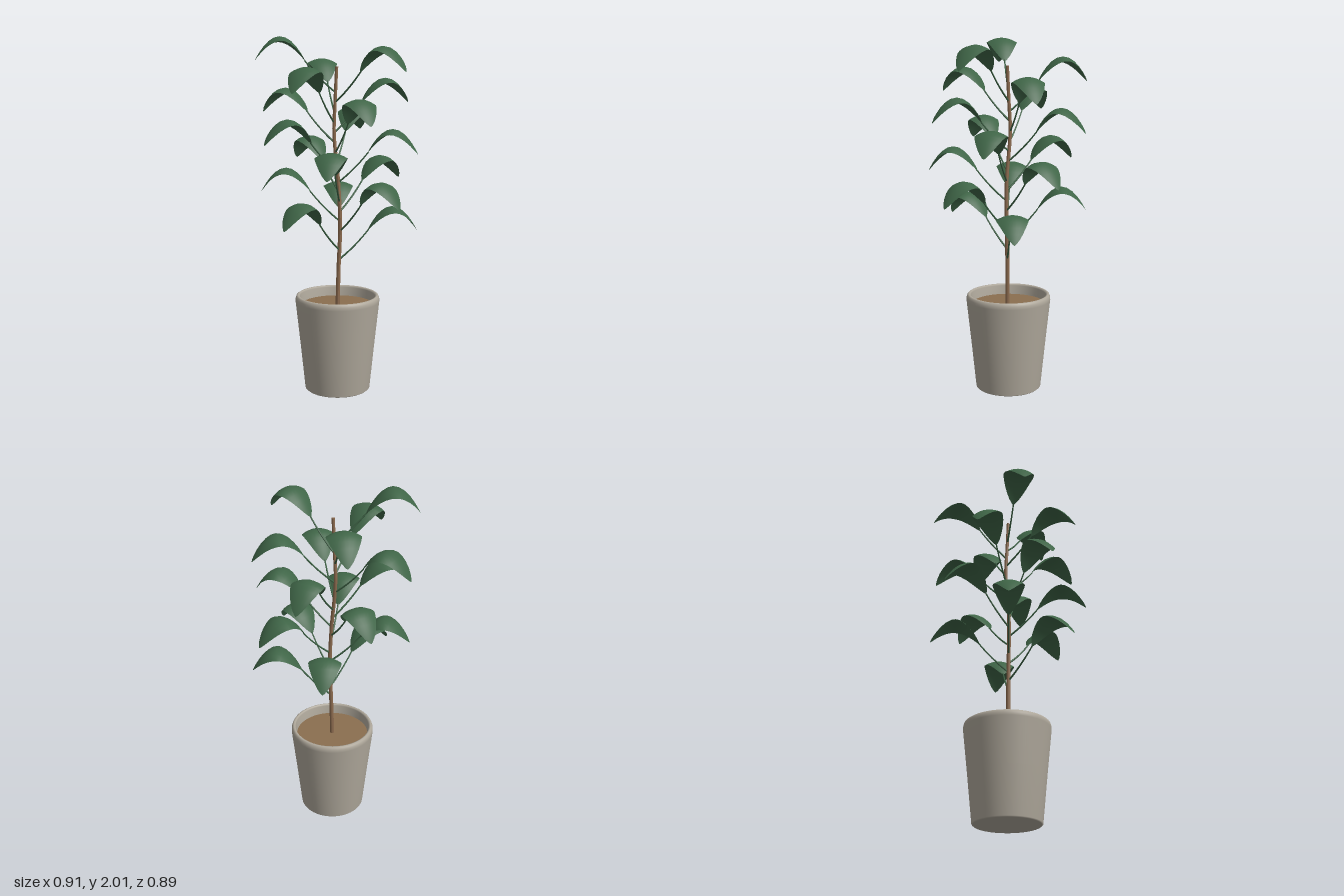
import * as THREE from 'three';

const LEAF_COUNT = 18;
const GOLDEN_ANGLE = THREE.MathUtils.degToRad(137.5);
const LEAF_BASE = 0.165, LEAF_TIP = 0.447, ARCH = 0.137;

// Gently wandering line of the trunk
const trunkCurve = new THREE.CatmullRomCurve3([
  [0, 0.48, 0.005], [0.006, 0.72, 0.006], [0.014, 0.95, 0.01], [0.004, 1.2, 0.01],
  [-0.018, 1.48, -0.012], [-0.013, 1.65, -0.004], [-0.005, 1.845, 0.005],
].map((p) => new THREE.Vector3(...p)));

function trunkAt(y) {
  let lo = 0, hi = 1;
  for (let i = 0; i < 20; i++) {
    const mid = (lo + hi) / 2;
    if (trunkCurve.getPoint(mid).y < y) lo = mid; else hi = mid;
  }
  return trunkCurve.getPoint(lo);
}

// Tube whose radius shrinks linearly along its path
function taperedTube(curve, segments, r0, r1, sides) {
  const geo = new THREE.TubeGeometry(curve, segments, 1, sides);
  const pos = geo.attributes.position, v = new THREE.Vector3();
  for (let i = 0; i < pos.count; i++) {
    const t = Math.floor(i / (sides + 1)) / segments;
    const c = curve.getPointAt(t);
    v.fromBufferAttribute(pos, i).sub(c).multiplyScalar(r0 + (r1 - r0) * t).add(c);
    pos.setXYZ(i, v.x, v.y, v.z);
  }
  geo.computeVertexNormals();
  return geo;
}

// Arched leaf running along +x, its edges drooping away from the midrib
function leafGeometry() {
  const geo = new THREE.PlaneGeometry(2, 2, 8, 14);
  const pos = geo.attributes.position;
  const half = (LEAF_TIP - LEAF_BASE) / 2;
  for (let i = 0; i < pos.count; i++) {
    const across = pos.getX(i);
    const u = Math.sin(pos.getY(i) * Math.PI / 2);
    const width = Math.max(0.002, 0.089 * Math.pow(Math.max(0, 1 - u * u), 0.7));
    const slope = -2 * ARCH * u / half;
    const len = Math.hypot(1, slope);
    const droop = 0.028 * Math.pow(across * width / 0.089, 2);
    pos.setXYZ(i,
      LEAF_BASE + half * (1 + u) + droop * slope / len,
      ARCH * (1 - u * u) - droop / len,
      across * width);
  }
  geo.computeVertexNormals();
  return geo;
}

export function createModel() {
  const group = new THREE.Group();
  const material = (name, color, side = THREE.FrontSide) => {
    const m = new THREE.MeshStandardMaterial({ color, side });
    m.name = name;
    return m;
  };
  const clay = material('potGrey', 0xb0a99c);
  const earth = material('soilBrown', 0x8b6f50);
  const bark = material('barkBrown', 0x8b6a4e);
  const green = material('leafGreen', 0x3f6547, THREE.DoubleSide);

  const add = (parent, name, geo, mat) => {
    const mesh = new THREE.Mesh(geo, mat);
    mesh.name = name;
    parent.add(mesh);
    return mesh;
  };

  // Tapered pot with a rounded rim and hollow top
  const profile = [
    [0, 0], [0.18, 0], [0.187, 0.006], [0.214, 0.27], [0.241, 0.52], [0.24, 0.537],
    [0.235, 0.55], [0.228, 0.555], [0.22, 0.553], [0.216, 0.545], [0.208, 0.48],
  ].map((p) => new THREE.Vector2(...p));
  add(group, 'pot', new THREE.LatheGeometry(profile, 48), clay);

  // Soil
  const soil = add(group, 'soil', new THREE.CircleGeometry(0.211, 48), earth);
  soil.rotation.x = -Math.PI / 2;
  soil.position.y = 0.495;

  // Trunk and its end cap
  add(group, 'trunk', taperedTube(trunkCurve, 28, 0.0125, 0.009, 10), bark);
  const cap = add(group, 'trunkTip', new THREE.CircleGeometry(0.009, 10), bark);
  cap.rotation.x = -Math.PI / 2;
  cap.position.copy(trunkCurve.getPoint(1));

  // Stalked leaves spiralling up the trunk
  const leafGeo = leafGeometry();
  const stalkCurve = new THREE.QuadraticBezierCurve3(
    new THREE.Vector3(0, -0.165, 0),
    new THREE.Vector3(0.095, -0.09, 0),
    new THREE.Vector3(LEAF_BASE + 0.006, 0.008, 0));
  const stalkGeo = taperedTube(stalkCurve, 8, 0.0055, 0.004, 6);
  for (let i = 0; i < LEAF_COUNT; i++) {
    const branch = new THREE.Group();
    branch.name = 'leafBranch' + (i + 1);
    const y = 0.925 + i * 0.0555;
    const root = trunkAt(y - 0.165);
    branch.position.set(root.x, y, root.z);
    branch.rotation.y = -i * GOLDEN_ANGLE;
    add(branch, 'leaf', leafGeo, green);
    add(branch, 'leafStalk', stalkGeo, green);
    group.add(branch);
  }
  return group;
}
